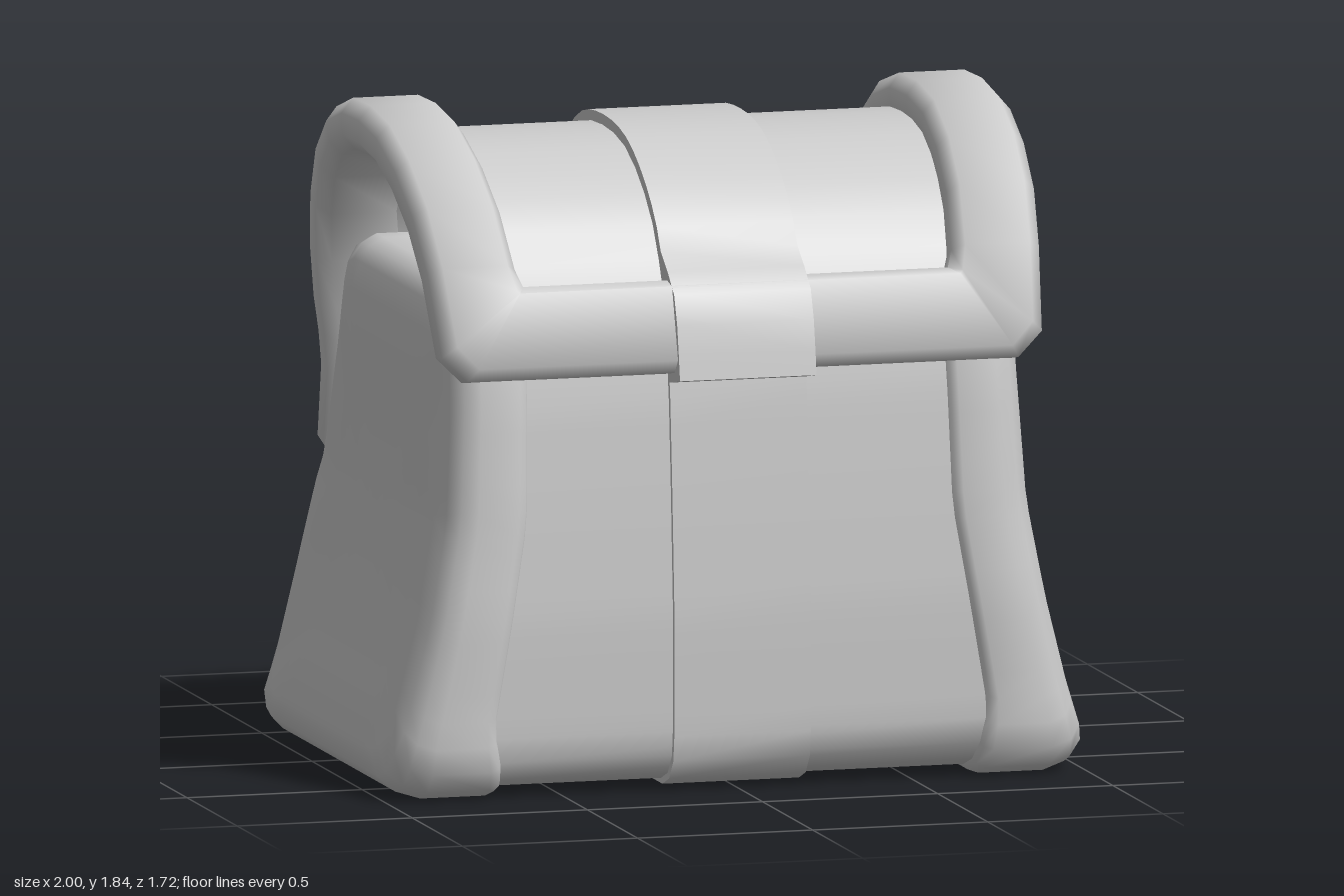
import * as THREE from 'three';
import { toCreasedNormals } from 'three/addons/utils/BufferGeometryUtils.js';

const V = (x, y, z) => new THREE.Vector3(x, y, z);

// Piecewise-linear lookup in a short [key, value] table
function lerpTable(table, k) {
  if (k <= table[0][0]) return table[0][1];
  for (let i = 1; i < table.length; i++) {
    const [k0, v0] = table[i - 1], [k1, v1] = table[i];
    if (k <= k1) return v0 + (v1 - v0) * (k - k0) / (k1 - k0);
  }
  return table[table.length - 1][1];
}

// Skin a row of rings; looped rows close on themselves, open rows get end caps
function skin(rings, looped = false) {
  const n = rings[0].length, m = rings.length;
  const tris = [];
  for (let i = 0; i < (looped ? m : m - 1); i++) {
    const A = rings[i], B = rings[(i + 1) % m];
    for (let j = 0; j < n; j++) {
      const k = (j + 1) % n;
      tris.push([A[j], B[j], B[k]], [A[j], B[k], A[k]]);
    }
  }
  if (!looped) {
    const cap = (ring, flip) => {
      const c = ring.reduce((s, p) => s.add(p), V(0, 0, 0)).divideScalar(n);
      ring.forEach((p, j) => {
        const q = ring[(j + 1) % n];
        tris.push(flip ? [c, q, p] : [c, p, q]);
      });
    };
    cap(rings[0], false);
    cap(rings[m - 1], true);
  }
  // A negative volume means the faces point inwards
  const volume = tris.reduce((s, [a, b, c]) => s + a.dot(b.clone().cross(c)), 0);
  const pts = tris.flatMap(([a, b, c]) => (volume < 0 ? [a, c, b] : [a, b, c]));
  const geo = new THREE.BufferGeometry().setFromPoints(pts);
  return toCreasedNormals(geo, 1.1);
}

// Side outline of the body as (z, y): up the front, down the back
const outline = new THREE.Path([[0.69, 0.005], [0.77, 0.035], [0.81, 0.1], [0.812, 0.5],
  [0.79, 0.85], [0.77, 1.1], [0.74, 1.3], [0.7, 1.385], [0.62, 1.415],
  [-0.33, 1.415], [-0.38, 1.385], [-0.41, 1.3], [-0.465, 1.1], [-0.52, 0.85], [-0.575, 0.7],
  [-0.61, 0.5], [-0.61, 0.1], [-0.57, 0.035], [-0.49, 0.005], [0.69, 0.005],
].map(([z, y]) => new THREE.Vector2(z, y))).getSpacedPoints(72).slice(0, -1);

// The outline shrunk by d, at x given by a function of height
const bodyRing = (d, xAt) => outline.map((p) => {
  const f = 1 - d / 0.71, y = 0.7 + (p.y - 0.7) * f;
  return V(xAt(y), y, 0.1 + (p.x - 0.1) * f);
});

// Centre line of the flap from front edge over the top to back edge
const flapCurve = new THREE.CatmullRomCurve3([[0.775, 1.17], [0.75, 1.3], [0.69, 1.43],
  [0.61, 1.56], [0.48, 1.67], [0.31, 1.75], [0.08, 1.775], [-0.14, 1.745], [-0.33, 1.62],
  [-0.45, 1.42], [-0.535, 0.95], [-0.57, 0.75], [-0.58, 0.55]].map(([z, y]) => V(0, y, z)),
false, 'centripetal');
const L = flapCurve.getLength();

// Point at distance s along the flap, n outwards from its centre line
function onFlap(x, s, n) {
  const t = Math.min(Math.max(s / L, 0), 1);
  const p = flapCurve.getPointAt(t), d = flapCurve.getTangentAt(t);
  p.addScaledVector(d, s - t * L);
  return V(x, p.y - d.z * n, p.z + d.y * n);
}
const flapHalfWidth = (s) =>
  0.69 + 0.095 * Math.min(Math.max((onFlap(0, s, 0).y - 0.9) / 0.9, 0), 1);

// Flat band along the flap; width(s) is the half width, outer(s) its outer face
function flapBand(s0, s1, steps, width, inner, outer) {
  const rings = [];
  for (let i = 0; i <= steps; i++) {
    const s = s0 + (s1 - s0) * i / steps, w = width(s), o = outer(s);
    rings.push([[-w, inner], [w, inner], [w, o], [-w, o]].map(([x, n]) => onFlap(x, s, n)));
  }
  return skin(rings);
}

// Padded rim around all four edges of the flap; outer corners are cut,
// and the back edge rises towards its corners
function flapRim() {
  const w = 0.125, cut = 0.07;
  const section = [[w, 0.03], [0.09, 0.07], [-0.095, 0.07], [-w, 0.03],
    [-w, -0.03], [-0.095, -0.07], [0.09, -0.07], [w, -0.03]];
  const point = (x, s, n) => {
    const rise = lerpTable([[0.4, 0], [0.82, 0.19]], Math.abs(x));
    return onFlap(x, s - rise * lerpTable([[L - 0.7, 0], [L - 0.25, 1]], s), n);
  };
  const side = (sign) => {
    const ring = (s, end = 0, cutX = 0, cutS = 0) => section.map(([a, b]) => {
      const k = (a + w) / (2 * w);
      return point(sign * (flapHalfWidth(s) + a - cutX * k), s + end * (a - cutS * k), b);
    });
    const rings = [ring(w, -1, cut, 0), ring(w, -1, 0, cut)];
    for (let i = 0; i <= 12; i++) rings.push(ring(0.3 + (L - 0.6) * i / 12));
    rings.push(ring(L - w, 1, 0, cut), ring(L - w, 1, cut, 0));
    rings.push(section.map(([a, b]) => point(sign * 0.4, L - w + a, b)));
    return rings;
  };
  return skin([...side(1), ...side(-1).reverse()], true);
}

// Square buckle frame with slightly pinched sides and blunt corners
function buckleFrame() {
  const r = 0.08, cut = 0.04, rings = [];
  const ring = (x, y, dx, dy, cutX = 0, cutY = 0) => rings.push(
    Array.from({ length: 8 }, (_, j) => {
      const a = (j + 0.5) * Math.PI / 4, o = r * Math.cos(a), k = (1 + Math.cos(a)) / 2;
      return V(x + dx * (o - cutX * k), 0.705 + y + dy * (o - cutY * k), -0.705 + r * Math.sin(a));
    }));
  for (const [sx, sy] of [[1, 1], [-1, 1], [-1, -1], [1, -1]]) {
    const first = sx * sy > 0;
    ring(sx * 0.315, sy * 0.21, sx, sy, first ? 0 : cut, first ? cut : 0);
    ring(sx * 0.315, sy * 0.21, sx, sy, first ? cut : 0, first ? 0 : cut);
    if (first) ring(0, sy * 0.19, 0, sy);
    else ring(sx * 0.3, 0, sx, 0);
  }
  return skin(rings, true);
}

// Six-sided prong with a blunt top, its lower end curling in through the frame
function buckleProng() {
  const curve = new THREE.CatmullRomCurve3([[-0.77, 1.045], [-0.775, 1], [-0.787, 0.9],
    [-0.77, 0.81], [-0.69, 0.74]].map(([z, y]) => V(0, y, z)));
  const rings = [];
  for (let i = 0; i <= 8; i++) {
    const p = curve.getPointAt(i / 8), d = curve.getTangentAt(i / 8), r = i ? 0.075 : 0.045;
    rings.push(Array.from({ length: 6 }, (_, j) => {
      const a = (j + 0.5) * Math.PI / 3;
      return V(r * Math.cos(a), p.y - d.z * r * Math.sin(a), p.z + d.y * r * Math.sin(a));
    }));
  }
  return skin(rings);
}

export function createModel() {
  const group = new THREE.Group();
  const material = new THREE.MeshStandardMaterial({ color: 0xcccccc });
  const add = (name, geometry) => {
    const mesh = new THREE.Mesh(geometry, material);
    mesh.name = name;
    group.add(mesh);
  };

  // Flared, cushioned ends
  const inner = [[0, 0.65], [0.2, 0.695], [0.77, 0.6], [1.41, 0.585]];
  const outer = [[0, 1.035], [0.12, 1.008], [0.2, 0.97], [0.5, 0.895], [0.77, 0.845],
    [1.1, 0.825], [1.41, 0.82]];
  const rows = [[0, 0.04], [0.06, 0.01], [0.14, 0], [0.62, 0], [0.8, 0.02], [0.93, 0.06],
    [1, 0.13], [1, 0.28], [1, 0.42], [1, 0.56], [1, 0.66]];
  for (const sign of [1, -1]) {
    add(sign > 0 ? 'leftEnd' : 'rightEnd', skin(rows.map(([u, d]) => bodyRing(d, (y) => {
      const a = lerpTable(inner, y);
      return sign * (a + (lerpTable(outer, y) - a) * u);
    }))));
  }

  // Body between the ends, and the strap round it
  const slab = (w, d) => skin([bodyRing(d, () => -w), bodyRing(d, () => w)]);
  add('body', slab(0.72, 0.024));
  add('bodyStrap', slab(0.195, 0.009));

  // Arched flap with padded rim and strap
  add('flapPanel', flapBand(0.1, L - 0.2, 20, flapHalfWidth, -0.066, () => -0.022));
  add('flapRim', flapRim());
  const strapLift = [[0, 0.08], [0.24, 0.08], [0.3, 0.008], [L - 0.3, 0.008], [L - 0.22, 0.075]];
  add('flapStrap', flapBand(-0.025, L + 0.02, 36, () => 0.195, -0.075, (s) => lerpTable(strapLift, s)));

  // Buckle on the back
  add('buckleFrame', buckleFrame());
  add('buckleProng', buckleProng());
  return group;
}
